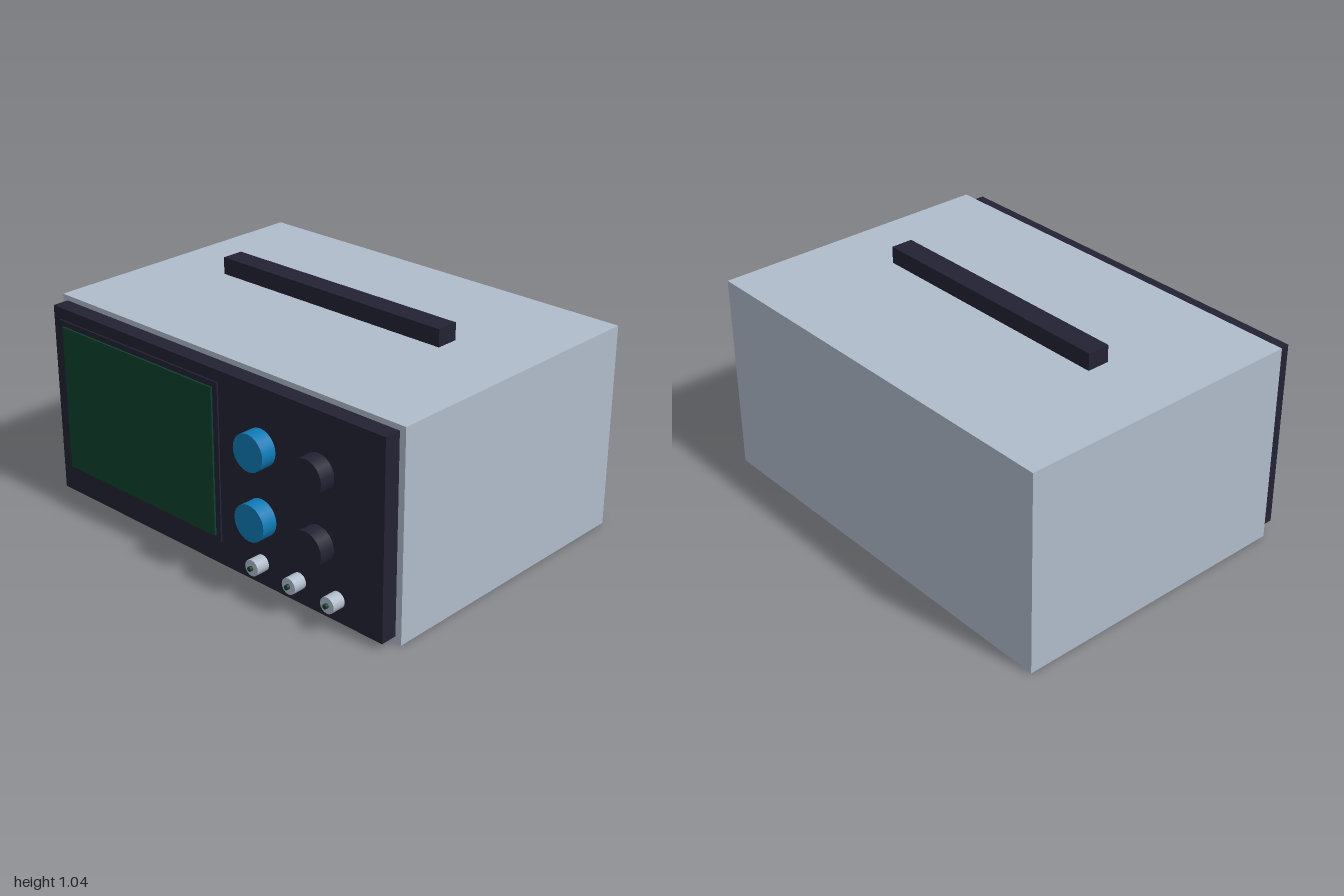
import * as THREE from 'three';

const material = (name, color) => {
  const m = new THREE.MeshStandardMaterial({ color });
  m.name = name;
  return m;
};

export function createModel() {
  const group = new THREE.Group();
  const grey = material('case grey', 0xb0bccb);
  const dark = material('dark navy', 0x222233);
  const green = material('screen green', 0x0f402d);
  const blue = material('knob blue', 0x0f7ab5);

  // Box given by its lower and upper corners
  const box = (name, mat, [x0, y0, z0], [x1, y1, z1]) => {
    const mesh = new THREE.Mesh(new THREE.BoxGeometry(x1 - x0, y1 - y0, z1 - z0), mat);
    mesh.position.set((x0 + x1) / 2, (y0 + y1) / 2, (z0 + z1) / 2);
    mesh.name = name;
    group.add(mesh);
  };

  // Cylinder lying along z
  const rod = (name, mat, x, y, z0, z1, radius, sides) => {
    const geometry = new THREE.CylinderGeometry(radius, radius, z1 - z0, sides);
    geometry.rotateX(Math.PI / 2);
    const mesh = new THREE.Mesh(geometry, mat);
    mesh.position.set(x, y, (z0 + z1) / 2);
    mesh.name = name;
    group.add(mesh);
  };

  // Case, front panel and handle bar
  box('case', grey, [-1, 0, -0.763], [1, 0.946, 0.606]);
  box('frontPanel', dark, [-0.97, 0.03, 0.59], [0.97, 0.922, 0.684]);
  box('handle', dark, [-0.63, 0.964, -0.132], [0.63, 1.043, -0.026]);

  // Display in its slightly raised surround
  box('screenSurround', dark, [-0.925, 0.137, 0.68], [0.075, 0.869, 0.692]);
  box('screen', green, [-0.898, 0.163, 0.685], [0.048, 0.843, 0.701]);

  // Two columns of control knobs
  for (const y of [0.345, 0.66]) {
    rod('blueKnob', blue, 0.314, y, 0.68, 0.758, 0.083, 24);
    rod('darkKnob', dark, 0.63, y, 0.68, 0.758, 0.083, 24);
  }

  // Row of sockets with centre pins
  for (const x of [0.314, 0.524, 0.735]) {
    rod('socket', grey, x, 0.134, 0.68, 0.748, 0.037, 16);
    rod('socketPin', green, x, 0.134, 0.7, 0.763, 0.011, 8);
  }
  return group;
}
